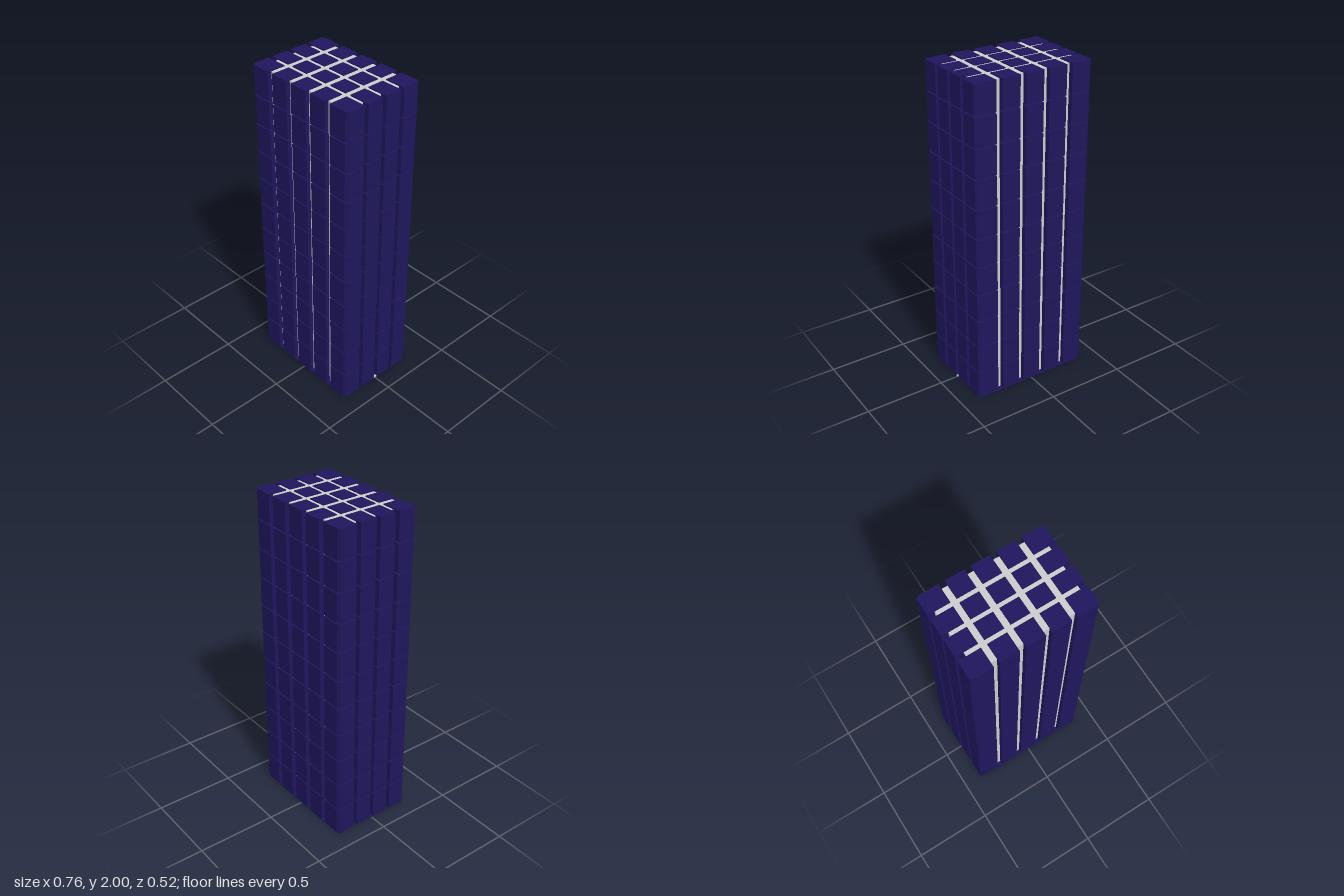
import * as THREE from 'three';

const H = 2, FLOORS = 11, SLOT = 0.008;
const CORE_X = 0.34, CORE_Z = 0.234;          // half sizes of the core
const X = [[-0.382, -0.248], [-0.212, -0.096], [-0.059, 0.057], [0.094, 0.21], [0.246, 0.381]];
const Z = [[-0.263, -0.146], [-0.12, -0.014], [0.011, 0.116], [0.142, 0.261]];

const blue = new THREE.MeshStandardMaterial({ color: 0x1e165c });
const grey = new THREE.MeshStandardMaterial({ color: 0xcccccc });

// Box given by its limits on each axis
function box(name, material, [x0, x1], [y0, y1], [z0, z1]) {
  const mesh = new THREE.Mesh(new THREE.BoxGeometry(x1 - x0, y1 - y0, z1 - z0), material);
  mesh.position.set((x0 + x1) / 2, (y0 + y1) / 2, (z0 + z1) / 2);
  mesh.name = name;
  return mesh;
}

// Corner block with its outer vertical edge cut off
function cornerGeometry([x0, x1], [z0, z1], height) {
  const sx = x0 < 0 ? -1 : 1, sz = z0 < 0 ? -1 : 1;
  const [xi, xo] = sx < 0 ? [x1, x0] : [x0, x1];
  const [zi, zo] = sz < 0 ? [z1, z0] : [z0, z1];
  const shape = new THREE.Shape([
    [xi, zi], [xo, zi], [xo, zo - sz * 0.011], [xo - sx * 0.018, zo], [xi, zo],
  ].map(([x, z]) => new THREE.Vector2(x, -z)));
  return new THREE.ExtrudeGeometry(shape, { depth: height, bevelEnabled: false }).rotateX(-Math.PI / 2);
}

export function createModel() {
  const tower = new THREE.Group();
  tower.name = 'tower';

  // Glazed core and base
  tower.add(box('core', grey, [-CORE_X, CORE_X], [0.004, H - 0.006], [-CORE_Z, CORE_Z]));
  tower.add(box('basePlate', blue, [-CORE_X, CORE_X], [0, 0.005], [-0.263, 0.261]));

  // Infill pieces in the side grooves
  tower.add(box('leftDoorPanel', blue, [CORE_X - 0.01, CORE_X + 0.002], [0, H / FLOORS], [0.116, 0.142]));
  tower.add(box('rightGroovePanel', blue, [-0.342, -0.332], [0, H - 0.005], [0.116, 0.142]));
  tower.add(box('leftSill', grey, [CORE_X, 0.381], [0, 0.005], [-0.014, 0.011]));
  tower.add(box('rightSill', blue, [-0.382, -CORE_X], [0, 0.005], [-0.014, 0.011]));

  X.forEach((xr, i) => Z.forEach((zr, j) => {
    const edgeX = i === 0 || i === X.length - 1;
    const edgeZ = j === 0 || j === Z.length - 1;

    // Roof tiles over the middle of the core
    if (!edgeX && !edgeZ) {
      tower.add(box('roofTile', blue, xr, [H - 0.02, H], zr));
      return;
    }

    const column = new THREE.Group();
    column.name = 'facadeColumn';

    // Recessed backing seen inside the horizontal slots
    const clamp = (range, m) => range.map((v) => THREE.MathUtils.clamp(v, -m, m));
    column.add(box('backing', blue, clamp(xr, CORE_X + 0.002), [0.002, H - 0.002], clamp(zr, CORE_Z + 0.002)));

    // One block per floor
    for (let f = 0; f < FLOORS; f++) {
      const y0 = f * H / FLOORS + (f > 0 ? SLOT / 2 : 0);
      const y1 = (f + 1) * H / FLOORS - (f < FLOORS - 1 ? SLOT / 2 : 0);
      if (edgeX && edgeZ) {
        const block = new THREE.Mesh(cornerGeometry(xr, zr, y1 - y0), blue);
        block.position.y = y0;
        block.name = 'cornerBlock';
        column.add(block);
      } else {
        column.add(box('facadeBlock', blue, xr, [y0, y1], zr));
      }
    }
    tower.add(column);
  }));

  return tower;
}
